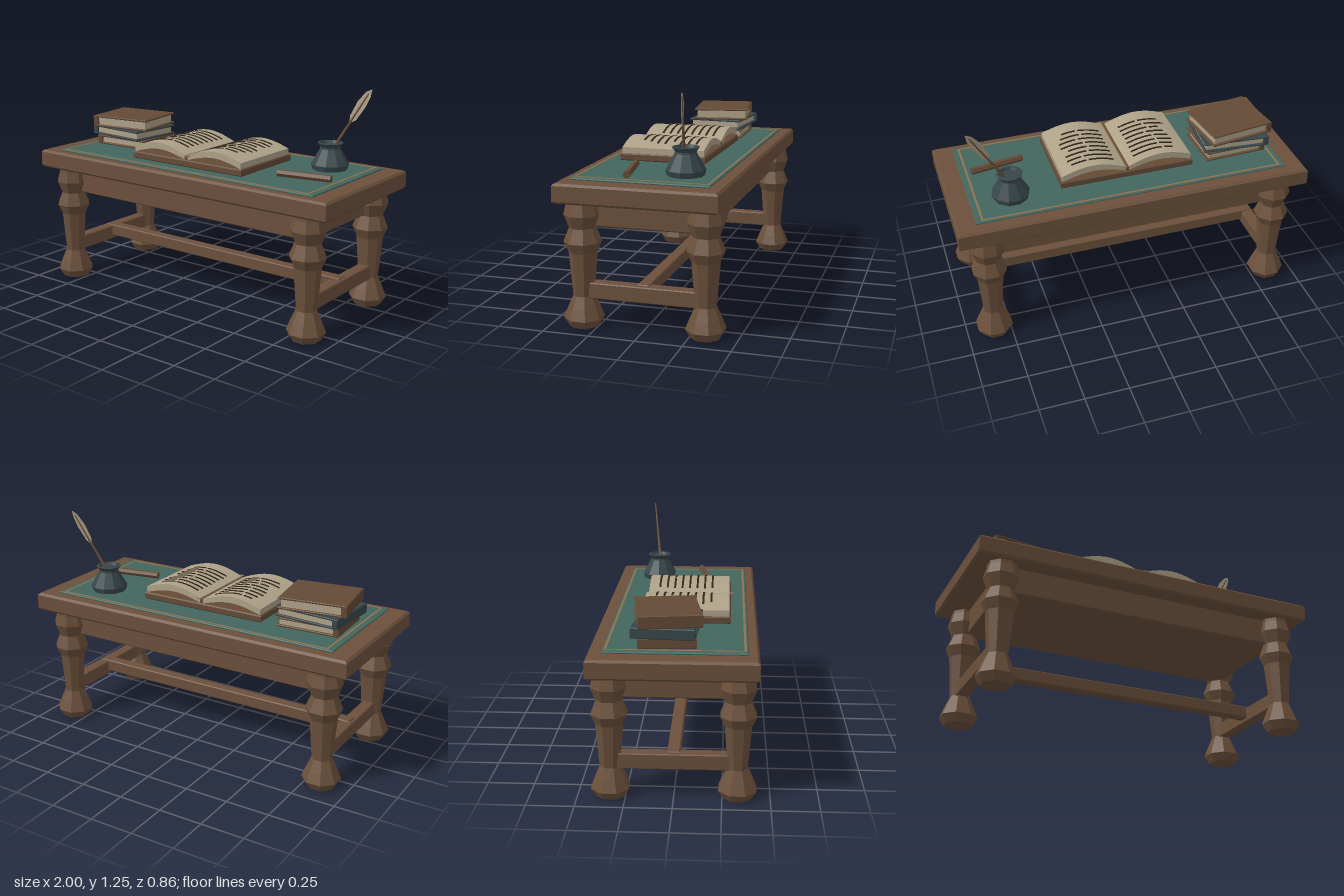
import * as THREE from 'three';

const mat = (name, color) => {
  const m = new THREE.MeshStandardMaterial({ color });
  m.name = name;
  return m;
};

export function createModel() {
  const wood = mat('wood', 0x6b503b);
  const coverBrown = mat('brown cover', 0x644a36);
  const leather = mat('green leather', 0x43665e);
  const gold = mat('gold trim', 0x8a7350);
  const paper = mat('paper', 0xaea288);
  const slate = mat('slate', 0x37464a);
  const ink = mat('ink', 0x2e2419);
  const vaneMat = mat('feather', 0xa89c82);
  vaneMat.side = THREE.DoubleSide;

  const root = new THREE.Group();
  root.name = 'writingDesk';
  const add = (name, geo, m, x = 0, y = 0, z = 0, parent = root) => {
    const mesh = new THREE.Mesh(geo, m);
    mesh.name = name;
    mesh.position.set(x, y, z);
    parent.add(mesh);
    return mesh;
  };
  const group = (name, x = 0, y = 0, z = 0, ry = 0) => {
    const g = new THREE.Group();
    g.name = name;
    g.position.set(x, y, z);
    g.rotation.y = ry;
    root.add(g);
    return g;
  };
  const rect = (w, d, Type = THREE.Shape) => new Type([
    [-w / 2, -d / 2], [w / 2, -d / 2], [w / 2, d / 2], [-w / 2, d / 2],
  ].map(([x, y]) => new THREE.Vector2(x, y)));

  // Box with chamfered edges, standing on y = 0
  const chamferBox = (w, h, d, b) => new THREE.ExtrudeGeometry(rect(w - 2 * b, d - 2 * b), {
    depth: h - 2 * b, bevelEnabled: true, bevelThickness: b, bevelSize: b, bevelSegments: 1,
  }).rotateX(-Math.PI / 2).translate(0, b, 0);

  // Faceted turned shape from [radius, height] pairs
  const turned = (profile, sides) => {
    const g = new THREE.LatheGeometry(profile.map(([r, y]) => new THREE.Vector2(r, y)), sides)
      .rotateY(Math.PI / sides).toNonIndexed();
    g.computeVertexNormals();
    return g;
  };

  // Table top, apron and leather writing surface
  add('tableTop', chamferBox(2, 0.105, 0.86, 0.012), wood, 0, 0.68, 0);
  add('apron', chamferBox(1.68, 0.15, 0.66, 0.006), wood, 0, 0.535, 0);
  add('leatherPad', chamferBox(1.78, 0.012, 0.735, 0.004), leather, 0, 0.783, 0.008);
  const border = rect(1.72, 0.715);
  border.holes.push(rect(1.695, 0.69, THREE.Path));
  add('goldBorder', new THREE.ExtrudeGeometry(border, { depth: 0.004, bevelEnabled: false })
    .rotateX(-Math.PI / 2), gold, 0, 0.793, 0.008);

  // Legs and stretchers
  const legGeo = turned([
    [0, 0], [0.08, 0], [0.107, 0.045], [0.085, 0.1], [0.056, 0.165], [0.075, 0.4],
    [0.1, 0.455], [0.07, 0.53], [0.098, 0.6], [0.082, 0.66], [0.08, 0.69], [0, 0.69],
  ], 8);
  for (const sx of [-1, 1]) {
    for (const sz of [-1, 1]) add('leg', legGeo, wood, sx * 0.842, 0, sz * 0.33);
    add('sideStretcher', chamferBox(0.07, 0.085, 0.62, 0.005), wood, sx * 0.842, 0.157, 0);
  }
  add('longStretcher', chamferBox(1.72, 0.07, 0.066, 0.005), wood, 0, 0.18, 0);

  // Open book: each page block is a crescent swept along z
  const pageX = (u) => 0.008 + 0.367 * u;
  const pageTop = (u) => 0.86 + 0.008 * u + 0.043 * Math.sin(Math.PI * u);
  const pageBottom = (u) => 0.834 + 0.036 * Math.sin(Math.PI * u);
  const sweep = (side, u0, u1, low, high, depth, steps) => {
    const pts = [];
    for (let i = 0; i <= steps; i++) {
      const u = u0 + (u1 - u0) * i / steps;
      pts.push(new THREE.Vector2(side * pageX(u), low(u)));
    }
    for (let i = steps; i >= 0; i--) {
      const u = u0 + (u1 - u0) * i / steps;
      pts.push(new THREE.Vector2(side * pageX(u), high(u)));
    }
    return new THREE.ExtrudeGeometry(new THREE.Shape(pts), { depth, bevelEnabled: false })
      .translate(0, 0, -depth / 2);
  };
  const book = group('openBook', 0, 0, 0.043);
  add('openCover', chamferBox(0.77, 0.04, 0.485, 0.006), coverBrown, 0, 0.795, 0, book);
  add('bookGutter', new THREE.BoxGeometry(0.018, 0.025, 0.47), coverBrown, 0, 0.843, 0, book);
  let seed = 7;
  const rand = () => (seed = (seed * 16807) % 2147483647) / 2147483647;
  for (const side of [-1, 1]) {
    add('pages', sweep(side, 0, 1, pageBottom, pageTop, 0.465, 16), paper, 0, 0, 0, book);
    for (let row = 0; row < 8; row++) {
      // Each written line is broken into two strokes
      const start = 0.12 + 0.03 * rand(), gap = 0.4 + 0.2 * rand(), end = 0.72 + 0.14 * rand();
      for (const [a, b] of [[start, gap], [gap + 0.04, end]]) {
        add('writtenLine', sweep(side, a, b, (u) => pageTop(u) - 0.002, (u) => pageTop(u) + 0.003, 0.011, 5),
          ink, 0, 0, -0.171 + row * 0.0435, book);
      }
    }
  }
  add('bookmark', new THREE.BoxGeometry(0.022, 0.004, 0.5), gold, 0.018, 0.86, 0.008, book);

  // Stack of closed books
  const closedBook = (w, h, d, cover, x, y, z, ry) => {
    const g = group('closedBook', x, y, z, ry), t = 0.011;
    for (const cy of [0, h - t]) add('cover', chamferBox(w, t, d, 0.003), cover, 0, cy, 0, g);
    add('spine', chamferBox(0.03, h, d, 0.004), cover, -w / 2 + 0.013, 0, 0, g);
    add('pageBlock', new THREE.BoxGeometry(w - 0.035, h - 2 * t + 0.002, d - 0.03), paper, 0.002, h / 2, 0, g);
  };
  closedBook(0.36, 0.055, 0.3, coverBrown, -0.65, 0.795, -0.04, 0.04);
  closedBook(0.38, 0.057, 0.325, slate, -0.665, 0.85, -0.04, -0.08);
  closedBook(0.378, 0.067, 0.325, coverBrown, -0.663, 0.907, -0.04, 0.14);

  // Inkwell
  add('inkwell', turned([
    [0, 0], [0.098, 0], [0.106, 0.03], [0.058, 0.115], [0.056, 0.125],
    [0.073, 0.148], [0.058, 0.15], [0.05, 0.135], [0, 0.135],
  ], 10), slate, 0.662, 0.795, -0.172);

  // Quill: a tapering shaft with a flat vane, leaning out of the inkwell
  const quill = group('quill', 0.685, 0.92, -0.17);
  quill.quaternion.setFromUnitVectors(new THREE.Vector3(0, 1, 0),
    new THREE.Vector3(0.195, 0.335, -0.045).normalize());
  add('quillShaft', new THREE.CylinderGeometry(0.004, 0.009, 0.4, 6), wood, 0, 0.16, 0, quill);
  const vane = new THREE.Shape([
    [0, 0.16], [0.022, 0.2], [0.027, 0.29], [0.02, 0.35], [0.004, 0.392],
    [-0.018, 0.36], [-0.03, 0.29], [-0.022, 0.2],
  ].map(([x, y]) => new THREE.Vector2(x, y)));
  add('quillVane', new THREE.ShapeGeometry(vane), vaneMat, 0, 0, 0, quill);

  // Wax stick lying beside the inkwell
  const stick = group('waxStick', 0.677, 0.814, 0.118, 0.17);
  const stickGeo = new THREE.CylinderGeometry(0.02, 0.02, 0.305, 6).rotateZ(Math.PI / 2).toNonIndexed();
  stickGeo.computeVertexNormals();
  add('stick', stickGeo, coverBrown, 0, 0, 0, stick);

  return root;
}
